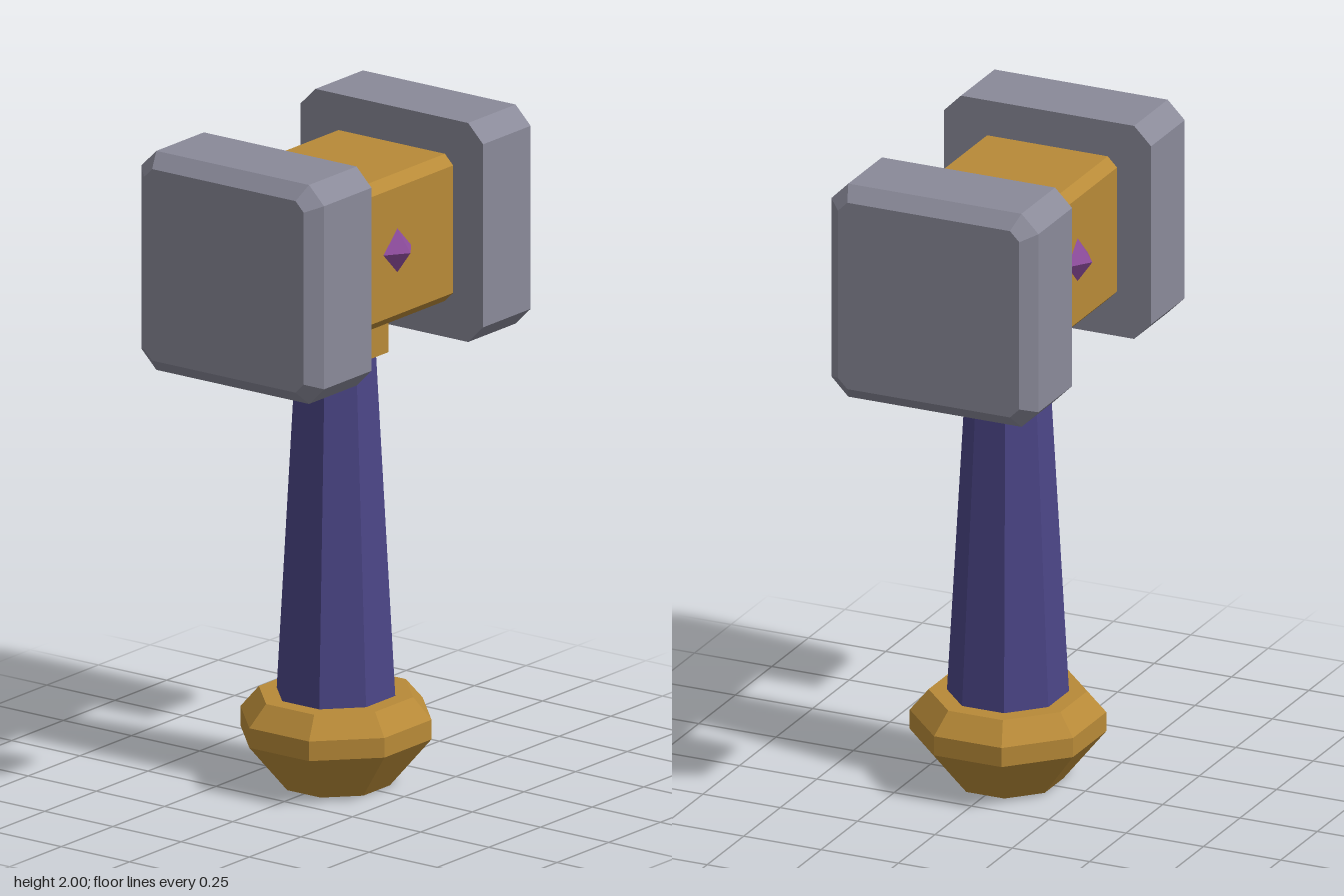
import * as THREE from 'three';

const paint = (color) => new THREE.MeshStandardMaterial({ color, flatShading: true });
const gold = paint(0xb88a38);
const steel = paint(0x8a8a99);
const grip = paint(0x4b4586);
const violet = paint(0x8d4c9c);

function add(parent, name, geometry, material) {
  const mesh = new THREE.Mesh(geometry, material);
  mesh.name = name;
  parent.add(mesh);
  return mesh;
}

// Square with cut corners in the y/z plane, counter-clockwise seen from +x
function cutSquare(x, half, cut) {
  const k = half - cut;
  return [[half, -k], [half, k], [k, half], [-k, half], [-half, k], [-half, -k], [-k, -half], [k, -half]]
    .map(([y, z]) => [x, y, z]);
}

// Closed solid through a row of cross-sections along +x
function loft(rings) {
  const n = rings[0].length;
  const last = (rings.length - 1) * n;
  const index = [];
  for (let r = 0; r < rings.length - 1; r++) {
    for (let j = 0; j < n; j++) {
      const a = r * n + j, b = r * n + (j + 1) % n;
      index.push(a, b, b + n, a, b + n, a + n);
    }
  }
  for (let j = 1; j < n - 1; j++) {
    index.push(0, j + 1, j, last, last + j, last + j + 1);
  }
  const geometry = new THREE.BufferGeometry();
  geometry.setAttribute('position', new THREE.Float32BufferAttribute(rings.flat(2), 3));
  geometry.setIndex(index);
  const flat = geometry.toNonIndexed();
  flat.computeVertexNormals();
  return flat;
}

// Eight-sided turned part from [half-width, y] points, slightly narrower in z
function turned(points) {
  const toRadius = 1 / Math.cos(Math.PI / 8);
  const profile = points.map(([w, y]) => new THREE.Vector2(w * toRadius, y));
  return new THREE.LatheGeometry(profile, 8, Math.PI / 8).scale(1, 1, 0.96);
}

export function createModel() {
  const model = new THREE.Group();
  model.name = 'warHammer';

  // Handle
  add(model, 'pommel', turned([[0, 0], [0.155, 0], [0.275, 0.15], [0.275, 0.21], [0.222, 0.275], [0, 0.275]]), gold);
  add(model, 'shaft', turned([[0.171, 0.27], [0.114, 1.34]]), grip);
  add(model, 'collar', turned([[0, 1.325], [0.151, 1.325], [0.151, 1.45], [0, 1.45]]), gold);

  // Head: centre block with a striking block at each end
  const head = new THREE.Group();
  head.name = 'head';
  head.position.y = 1.665;
  model.add(head);
  add(head, 'centreBlock', loft([cutSquare(-0.28, 0.225, 0.03), cutSquare(0.28, 0.225, 0.03)]), gold);

  const striker = loft([
    cutSquare(0.27, 0.335, 0.055),
    cutSquare(0.5, 0.335, 0.055),
    cutSquare(0.543, 0.293, 0.03),
  ]);
  // Gem on the front and back of the centre block
  const gem = new THREE.OctahedronGeometry(1).scale(0.07, 0.07, 0.05);
  for (const [i, side] of ['left', 'right'].entries()) {
    add(head, side + 'Striker', striker, steel).rotation.y = i * Math.PI;
  }
  for (const [name, s] of [['frontGem', 1], ['backGem', -1]]) {
    add(head, name, gem, violet).position.set(0, 0.002, s * 0.223);
  }
  return model;
}
